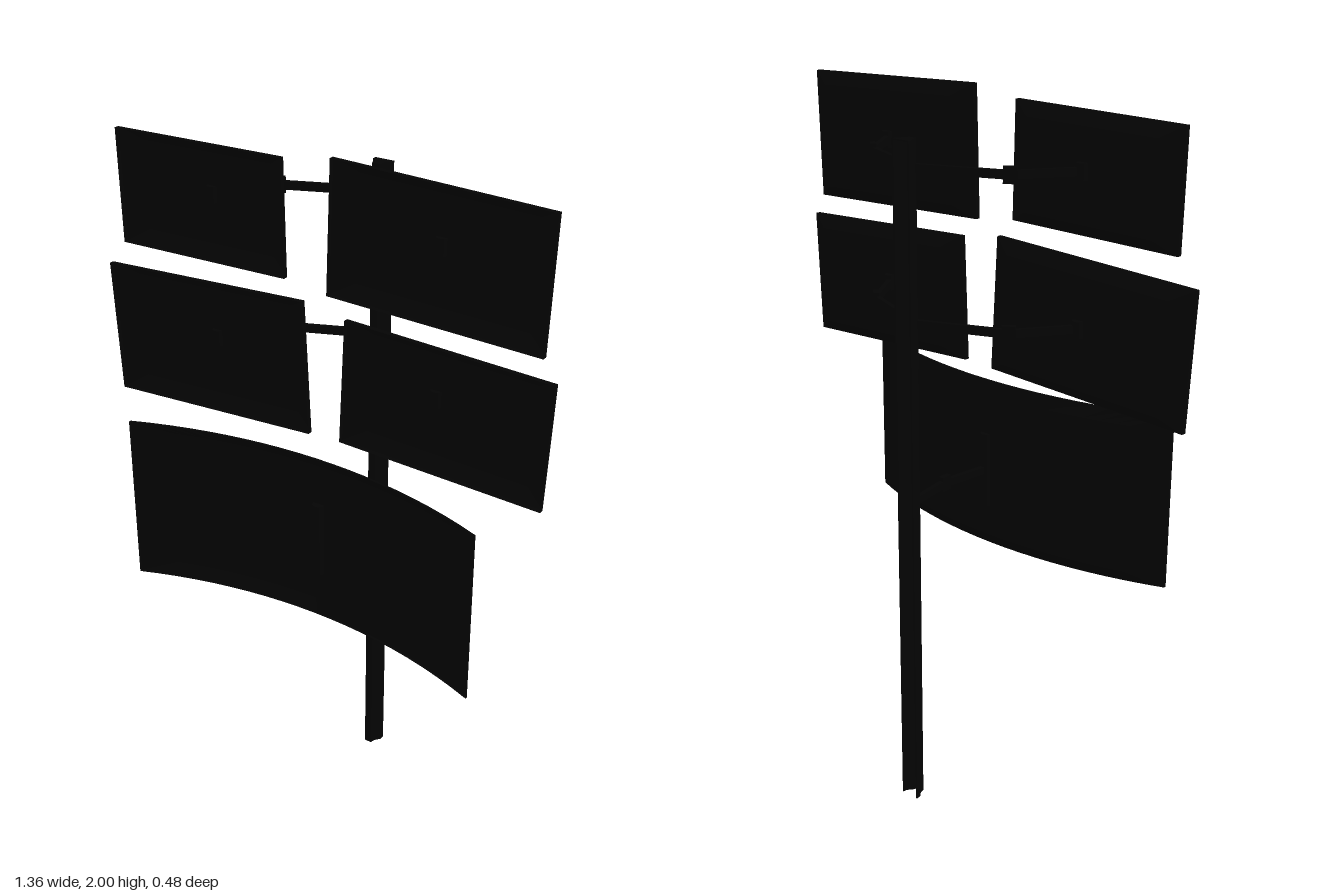
import * as THREE from 'three';
import { toCreasedNormals } from 'three/addons/utils/BufferGeometryUtils.js';

const material = new THREE.MeshStandardMaterial({ color: 0x040404, side: THREE.DoubleSide });
const POLE_X = -0.006;

function addMesh(parent, name, geometry) {
  const mesh = new THREE.Mesh(geometry, material);
  mesh.name = name;
  parent.add(mesh);
  return mesh;
}

// Display shell, open at the front (z = 0): thin rim, sloping in to a smaller back,
// with the left and right ends optionally bent forward
function monitor(name, { x, y, z, w, h, depth, rim, insetX, insetY, roll = 0, yaw = 0, radius = 0 }) {
  const shell = new THREE.BoxGeometry(w, h, depth, radius ? 20 : 1, 1, 2);
  const front = shell.groups[4];
  const index = Array.from(shell.index.array);
  index.splice(front.start, front.count);
  shell.setIndex(index);
  shell.clearGroups();

  const p = shell.attributes.position;
  for (let i = 0; i < p.count; i++) {
    const pz = p.getZ(i);
    if (pz < -depth / 4) {
      p.setXYZ(i, p.getX(i) * (1 - 2 * insetX / w), p.getY(i) * (1 - 2 * insetY / h), -depth);
    } else {
      p.setZ(i, pz < depth / 4 ? -rim : 0);
    }
    if (radius) p.setZ(i, p.getZ(i) + radius - Math.sqrt(radius ** 2 - p.getX(i) ** 2));
  }
  const mesh = new THREE.Mesh(toCreasedNormals(shell, 0.15), material);
  mesh.name = name;
  mesh.position.set(x, y, z);
  mesh.rotation.set(0, yaw, roll);
  return mesh;
}

// Upright joint barrel
function joint(parent, name, point, radius, height) {
  const mesh = addMesh(parent, name, new THREE.CylinderGeometry(radius, radius, height, 16));
  mesh.position.copy(point);
}

// Level flat bar centred on a point and running along a direction
function bar(parent, name, centre, direction, length, height, width) {
  const mesh = addMesh(parent, name, new THREE.BoxGeometry(width, height, length));
  mesh.position.copy(centre);
  mesh.rotation.y = Math.atan2(direction.x, direction.z);
}

// Two-link arm from the pole to a mount behind a display
function arm(name, y, elbow, mount, mountRadius, mountHeight) {
  const group = new THREE.Group();
  group.name = name;
  const start = new THREE.Vector3(POLE_X, y, -0.2);
  const mid = new THREE.Vector3(elbow[0], y, elbow[1]);
  const end = new THREE.Vector3(mount[0], y, mount[1]);
  const inner = mid.clone().sub(start);
  const outer = end.clone().sub(mid);
  bar(group, 'innerLink', start.clone().lerp(mid, 0.5), inner, inner.length(), 0.022, 0.014);
  bar(group, 'outerLink', mid.clone().lerp(end, 0.5), outer, outer.length(), 0.022, 0.014);
  const bisector = inner.normalize().add(outer.normalize());
  bar(group, 'elbowJoint', mid, bisector, 0.036, 0.043, 0.016);
  joint(group, 'shoulderJoint', start, 0.011, 0.042);
  joint(group, 'displayMount', end, mountRadius, mountHeight);
  return group;
}

// Closed mirrored outline from the points of its right half
function mirrored(half) {
  return [...half, ...half.map(([x, y]) => [-x, y]).reverse()];
}

export function createModel() {
  const model = new THREE.Group();
  model.name = 'multiMonitorStand';

  // Pole: thin channel open at the back, with a cap on top
  const outer = [[0.029, 0.24], [0.028, 0.226], [0.016, 0.211], [0.011, 0.195]];
  const inner = [[0.025, 0.24], [0.024, 0.229], [0.012, 0.214], [0.007, 0.2]];
  const profiles = [
    ['pole', [...mirrored(outer), ...mirrored(inner).reverse()], 0, 1.897],
    ['poleCap', mirrored(outer), 1.897, 0.003],
  ];
  for (const [name, points, bottom, height] of profiles) {
    const shape = new THREE.Shape(points.map(([x, y]) => new THREE.Vector2(x, y)));
    const geometry = new THREE.ExtrudeGeometry(shape, { depth: height, bevelEnabled: false });
    geometry.rotateX(-Math.PI / 2);
    addMesh(model, name, geometry).position.set(POLE_X, bottom, 0);
  }

  // Four flat displays, each slightly rolled
  const flat = { z: 0.097, depth: 0.042, rim: 0.014, insetX: 0.06, insetY: 0.035 };
  const displays = [
    ['upperRightMonitor', { x: -0.363, y: 1.812, w: 0.53, h: 0.315, roll: 0.018 }],
    ['upperLeftMonitor', { x: 0.345, y: 1.811, w: 0.61, h: 0.358, roll: -0.032 }],
    ['middleRightMonitor', { x: -0.354, y: 1.405, w: 0.643, h: 0.375, roll: 0.049 }],
    ['middleLeftMonitor', { x: 0.377, y: 1.4, w: 0.592, h: 0.35, roll: -0.042 }],
  ];
  for (const [name, options] of displays) model.add(monitor(name, { ...flat, ...options }));

  // Wide curved display at the bottom
  model.add(monitor('curvedMonitor', {
    x: 0.01, y: 0.933, z: 0.125, w: 1.1, h: 0.495, depth: 0.025, rim: 0.007,
    insetX: 0.1, insetY: 0.035, yaw: -0.007, radius: 1.47,
  }));

  // Arms
  for (const [row, y] of [['upper', 1.825], ['middle', 1.42]]) {
    model.add(arm(row + 'RightArm', y, [-0.248, -0.102], [-0.349, 0.052], 0.0165, 0.045));
    model.add(arm(row + 'LeftArm', y, [0.236, -0.102], [0.338, 0.052], 0.0165, 0.045));
  }
  model.add(arm('lowerArm', 0.92, [0.024, -0.055], [0.01, 0.102], 0.0175, 0.22));

  return model;
}
